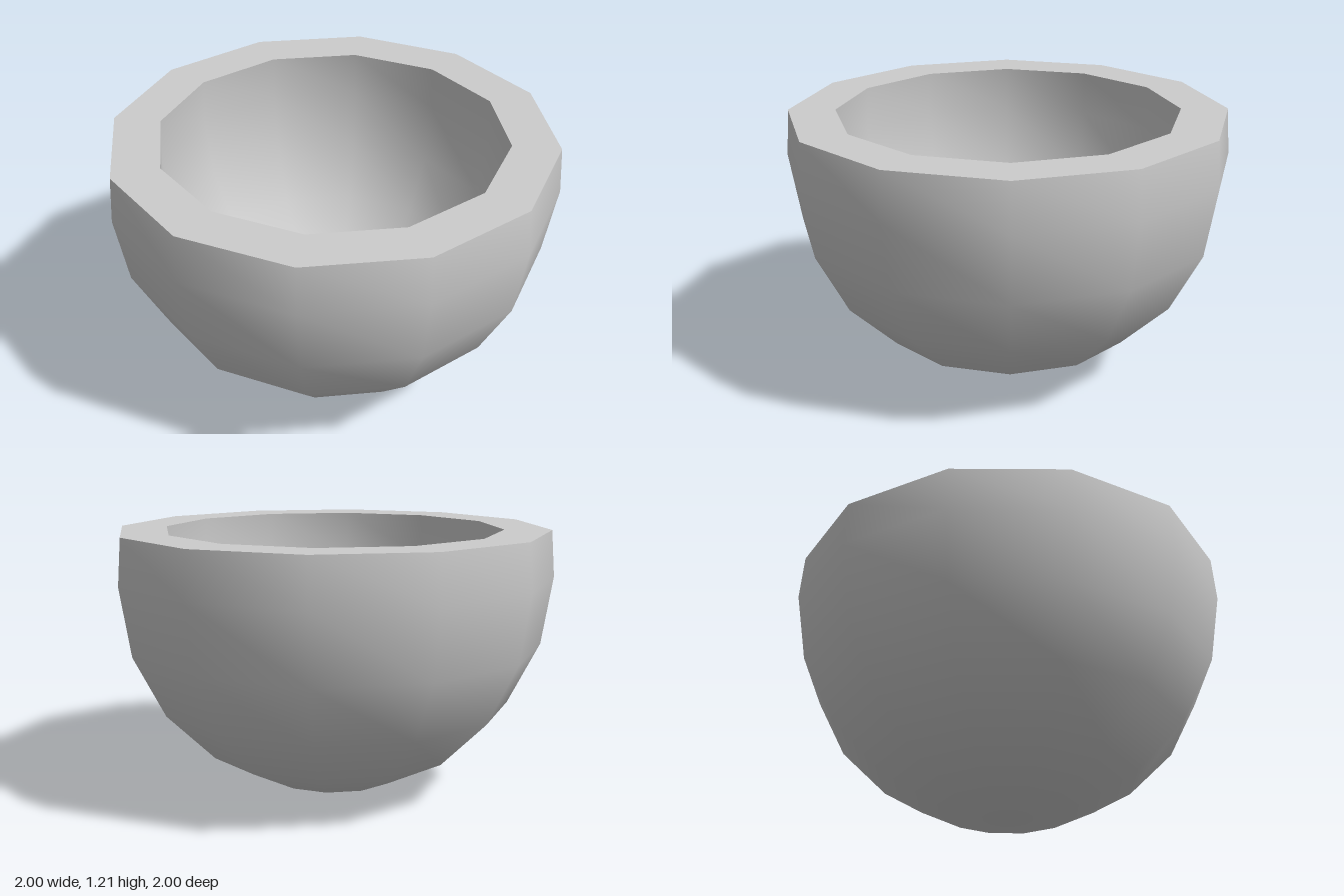
import * as THREE from 'three';
import { mergeVertices } from 'three/addons/utils/BufferGeometryUtils.js';

const SIDES = 12;
const STEP = Math.PI / 10; // angle between horizontal rings
const RIM_Y = 1.21;
const RIM_RATIO = 0.984; // rim radius relative to the widest ring
const OUTER_RADIUS = 1;
const INNER_RADIUS = 0.785;

// Profile of a round shell, widest at y = 1, from the bottom pole to the rim
function shellProfile(radius, depth) {
  const points = [];
  for (let i = 0; i <= 5; i++) {
    const a = i * STEP;
    points.push(new THREE.Vector2(radius * Math.sin(a), 1 - depth * Math.cos(a)));
  }
  points[0].x = 0;
  points.push(new THREE.Vector2(radius * RIM_RATIO, RIM_Y));
  return points;
}

export function createModel() {
  const group = new THREE.Group();
  group.name = 'bowl';
  const material = new THREE.MeshStandardMaterial({ color: 0xcccccc });

  // Turned surface with its seam and pole welded for even smooth normals
  function addLathe(name, points) {
    const lathe = new THREE.LatheGeometry(points, SIDES);
    lathe.deleteAttribute('normal');
    lathe.deleteAttribute('uv');
    const geometry = mergeVertices(lathe, 1e-4);
    geometry.computeVertexNormals();
    const mesh = new THREE.Mesh(geometry, material);
    mesh.name = name;
    group.add(mesh);
  }

  // Outer wall, listed upward so that it faces out
  addLathe('outerWall', shellProfile(OUTER_RADIUS, 1));
  // Flat ring on top
  addLathe('rim', [
    new THREE.Vector2(OUTER_RADIUS * RIM_RATIO, RIM_Y),
    new THREE.Vector2(INNER_RADIUS * RIM_RATIO, RIM_Y),
  ]);
  // Hollow, listed downward so that it faces in
  addLathe('innerWall', shellProfile(INNER_RADIUS, 0.9).reverse());

  return group;
}
